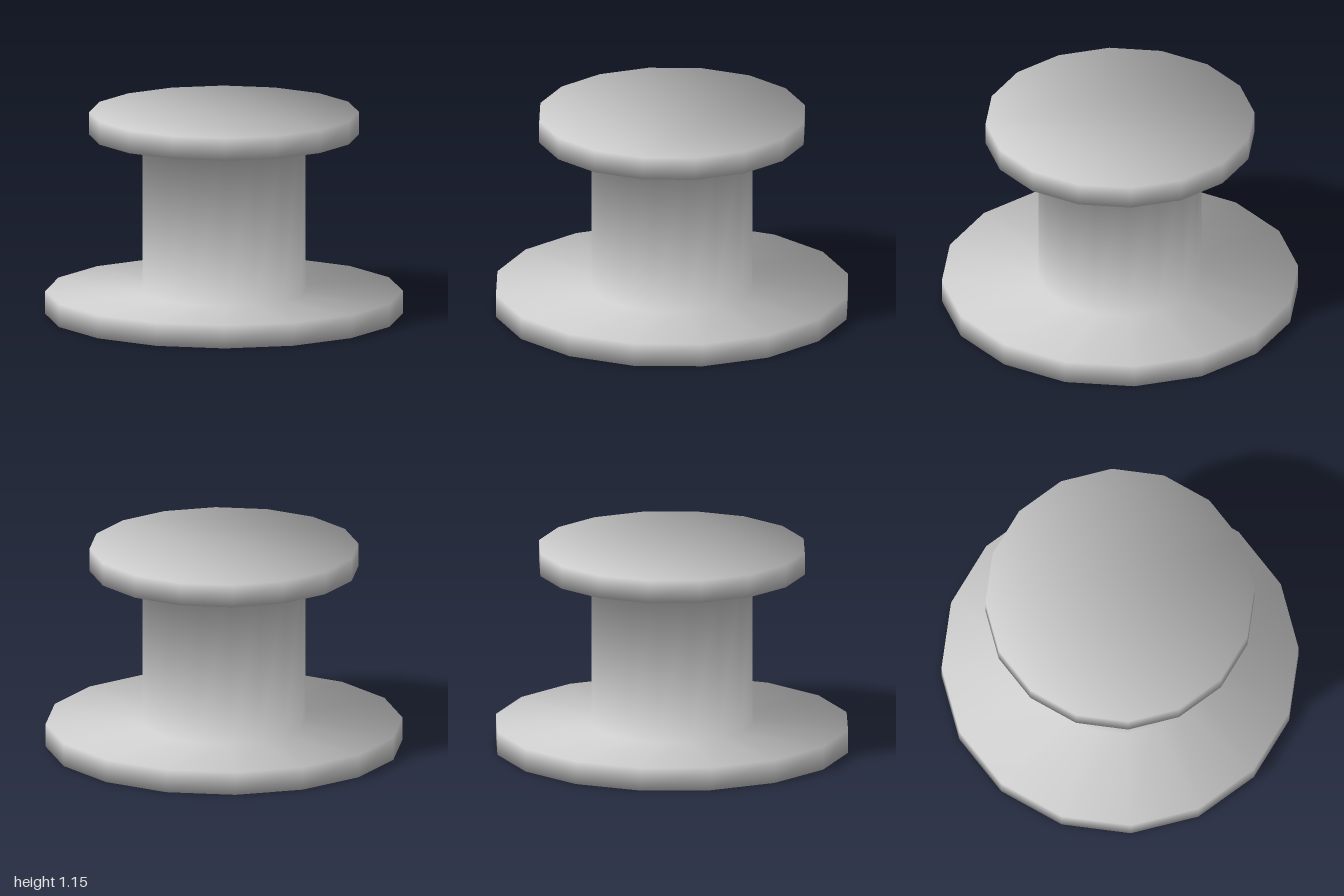
import * as THREE from 'three';

const SIDES = 16;
const HUB = 0.457, BASE = 1, TOP = 0.754;          // radii
const Y0 = 0, Y1 = 0.131, Y2 = 1.021, Y3 = 1.151;  // levels

// A ring of the profile: radius, height and its blended normal (outward, upward).
const rim = (r, y, up) => ({ r, y, out: 0.746, up: 0.666 * up });   // outer edge
const neck = (y, up) => ({ r: HUB, y, out: 0.657, up: 0.754 * up }); // hub meets flange

// Skins rings listed from the bottom up, with optional flat end faces.
function loft(name, material, rings, { bottom = false, top = false } = {}) {
  const positions = [], normals = [], index = [];
  for (const { r, y, out, up } of rings) {
    for (let i = 0; i < SIDES; i++) {
      const t = (i / SIDES) * Math.PI * 2, c = Math.cos(t), s = -Math.sin(t);
      positions.push(r * c, y, r * s);
      normals.push(out * c, up, out * s);
    }
  }
  for (let k = 0; k < rings.length - 1; k++) {
    for (let i = 0; i < SIDES; i++) {
      const j = (i + 1) % SIDES, a = k * SIDES, b = a + SIDES;
      index.push(a + i, a + j, b + j, a + i, b + j, b + i);
    }
  }
  const last = (rings.length - 1) * SIDES;
  for (let i = 1; i < SIDES - 1; i++) {
    if (bottom) index.push(0, i + 1, i);
    if (top) index.push(last, last + i, last + i + 1);
  }
  const geometry = new THREE.BufferGeometry();
  geometry.setAttribute('position', new THREE.Float32BufferAttribute(positions, 3));
  geometry.setAttribute('normal', new THREE.Float32BufferAttribute(normals, 3));
  geometry.setIndex(index);
  const mesh = new THREE.Mesh(geometry, material);
  mesh.name = name;
  return mesh;
}

export function createModel() {
  const grey = new THREE.MeshStandardMaterial({ color: 0xcccccc });
  grey.name = 'light grey';

  const spool = new THREE.Group();
  spool.name = 'spool';
  spool.add(
    // Wide foot disc
    loft('baseFlange', grey, [rim(BASE, Y0, -1), rim(BASE, Y1, 1), neck(Y1, 1)], { bottom: true }),
    // Central drum
    loft('hub', grey, [neck(Y1, 1), neck(Y2, -1)]),
    // Smaller upper disc
    loft('topFlange', grey, [neck(Y2, -1), rim(TOP, Y2, -1), rim(TOP, Y3, 1)], { top: true })
  );
  return spool;
}
